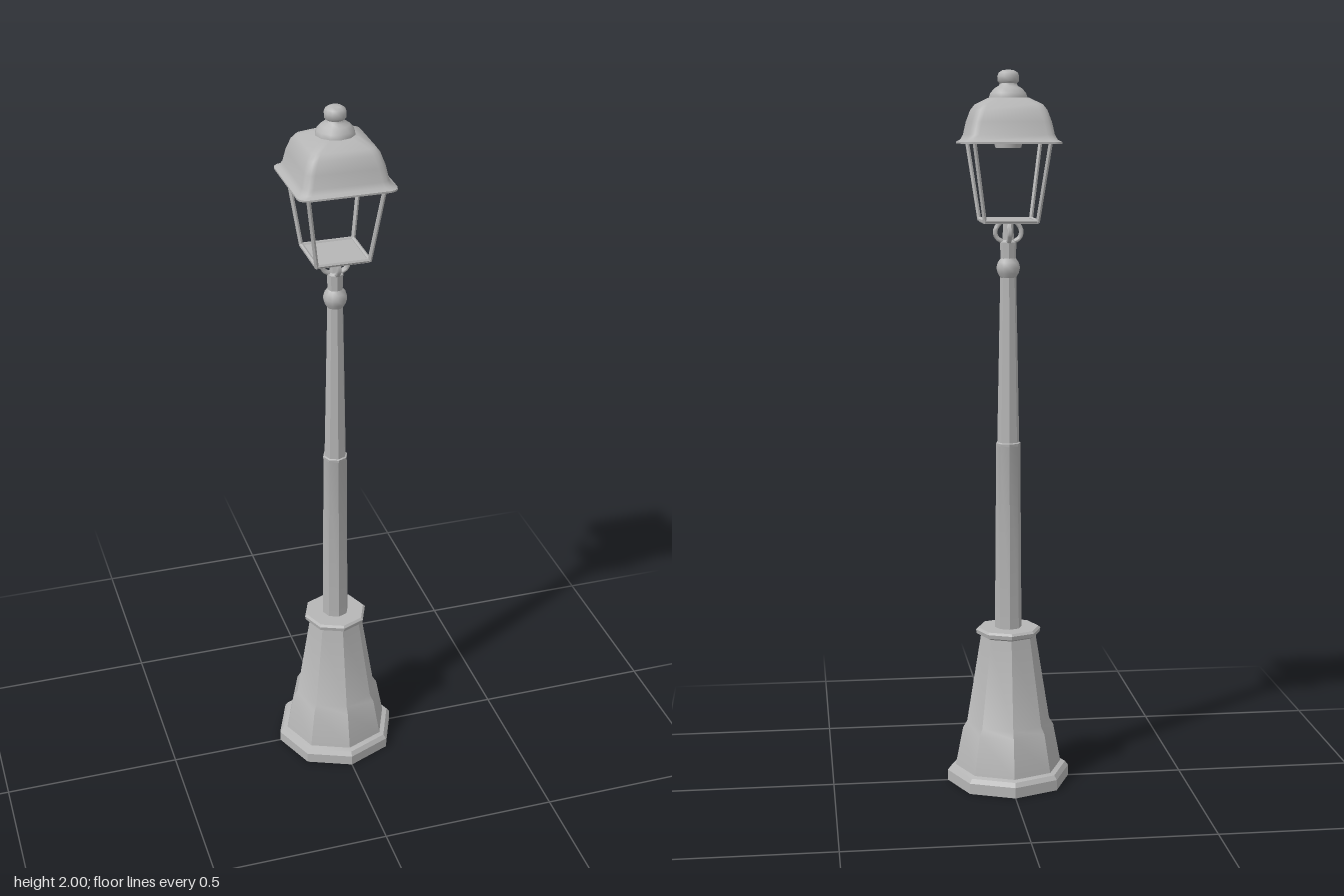
import * as THREE from 'three';
import { toCreasedNormals } from 'three/addons/utils/BufferGeometryUtils.js';

const iron = new THREE.MeshStandardMaterial({ color: 0xb6b6b6, side: THREE.DoubleSide });
iron.name = 'grey iron';

function add(parent, name, geometry, crease = 0.5) {
  const mesh = new THREE.Mesh(toCreasedNormals(geometry, crease), iron);
  mesh.name = name;
  parent.add(mesh);
  return mesh;
}

// Turned part from [radius, height] pairs, listed from the bottom up
function turned(parent, name, profile, sides, crease) {
  const points = profile.map(([r, y]) => new THREE.Vector2(r, y));
  return add(parent, name, new THREE.LatheGeometry(points, sides), crease);
}

// Straight bar between two points
function bar(parent, name, a, b, radius) {
  const geometry = new THREE.CylinderGeometry(radius, radius, a.distanceTo(b), 6);
  const mesh = add(parent, name, geometry, 1.2);
  mesh.position.copy(a).lerp(b, 0.5);
  mesh.quaternion.setFromUnitVectors(new THREE.Vector3(0, 1, 0), b.clone().sub(a).normalize());
  return mesh;
}

// Closed loft of round-cornered squares, sections given as [half width, height, corner radius]
function squareLoft(sections) {
  const positions = [], index = [], steps = 3, n = 4 * (steps + 1);
  for (const [half, y, r] of sections) {
    for (let q = 0; q < 4; q++) {
      const mid = Math.PI / 4 + q * Math.PI / 2;
      const cx = Math.sign(Math.cos(mid)) * (half - r), cz = Math.sign(Math.sin(mid)) * (half - r);
      for (let s = 0; s <= steps; s++) {
        const a = (q + s / steps) * Math.PI / 2;
        positions.push(cx + r * Math.cos(a), y, cz + r * Math.sin(a));
      }
    }
  }
  const last = (sections.length - 1) * n, base = sections.length * n;
  positions.push(0, sections[0][1], 0, 0, sections[sections.length - 1][1], 0);
  for (let i = 0; i < n; i++) {
    const j = (i + 1) % n;
    for (let k = 0; k < last; k += n) {
      index.push(k + i, k + n + i, k + j, k + j, k + n + i, k + n + j);
    }
    index.push(base, i, j, base + 1, last + j, last + i);
  }
  const geometry = new THREE.BufferGeometry();
  geometry.setAttribute('position', new THREE.Float32BufferAttribute(positions, 3));
  geometry.setIndex(index);
  return geometry;
}

export function createModel() {
  const lamp = new THREE.Group();
  lamp.name = 'streetLamp';

  // Octagonal pedestal, open underneath
  turned(lamp, 'pedestal', [
    [0.174, 0], [0.174, 0.03], [0.165, 0.042], [0.151, 0.046],
    [0.13, 0.155], [0.118, 0.175], [0.078, 0.425],
    [0.09, 0.431], [0.092, 0.442], [0.086, 0.448], [0.03, 0.448],
  ], 8);

  // Octagonal pole in two tapering lengths
  turned(lamp, 'lowerPole', [
    [0.038, 0.446], [0.034, 0.968], [0.035, 0.971], [0.035, 0.977], [0.03, 0.98],
  ], 8);
  turned(lamp, 'upperPole', [[0.031, 0.975], [0.022, 1.45]], 8);
  turned(lamp, 'poleBall', [
    [0.022, 1.438], [0.029, 1.45], [0.033, 1.465], [0.029, 1.48], [0.021, 1.491],
  ], 12, 0.9);
  turned(lamp, 'neck', [[0.021, 1.488], [0.023, 1.535], [0.016, 1.541], [0.014, 1.588]], 8);

  // Four curved arms carrying the lantern
  const arms = new THREE.Group();
  arms.name = 'lanternArms';
  lamp.add(arms);
  const curve = new THREE.CatmullRomCurve3(
    [[0.015, 1.536], [0.032, 1.548], [0.036, 1.565], [0.03, 1.58], [0.022, 1.589]]
      .map(([x, y]) => new THREE.Vector3(x, y, 0)));
  for (let i = 0; i < 4; i++) {
    const arm = add(arms, 'arm', new THREE.TubeGeometry(curve, 8, 0.007, 6), 1.2);
    arm.rotation.y = i * Math.PI / 2;
  }

  // Lantern floor, rim and corner posts
  const lantern = new THREE.Group();
  lantern.name = 'lantern';
  lamp.add(lantern);
  const floor = add(lantern, 'lanternFloor', new THREE.BoxGeometry(0.146, 0.008, 0.146));
  floor.position.y = 1.592;
  const corner = (i, half, y) => new THREE.Vector3(half, y, half)
    .applyAxisAngle(new THREE.Vector3(0, 1, 0), i * Math.PI / 2);
  for (let i = 0; i < 4; i++) {
    bar(lantern, 'cornerPost', corner(i, 0.072, 1.592), corner(i, 0.102, 1.803), 0.006);
    bar(lantern, 'floorRim', corner(i, 0.072, 1.595), corner(i + 1, 0.072, 1.595), 0.006);
  }

  // Lamp holder under the roof
  const holder = add(lantern, 'lampHolder', new THREE.CylinderGeometry(0.038, 0.036, 0.012, 12), 0.9);
  holder.position.y = 1.797;

  // Square bell-shaped roof with a flared eave
  add(lantern, 'roof', squareLoft([
    [0.133, 1.802, 0.026], [0.133, 1.807, 0.026], [0.122, 1.813, 0.025],
    [0.115, 1.826, 0.024], [0.108, 1.86, 0.024], [0.097, 1.892, 0.024],
    [0.086, 1.907, 0.022], [0.052, 1.925, 0.02],
  ]), 0.9);

  // Finial
  turned(lantern, 'finial', [
    [0.052, 1.915], [0.053, 1.925], [0.049, 1.937], [0.038, 1.95], [0.026, 1.957],
    [0.023, 1.963], [0.029, 1.969], [0.03, 1.982], [0.026, 1.992], [0.016, 1.998], [0.0005, 2],
  ], 12, 0.9);

  return lamp;
}
